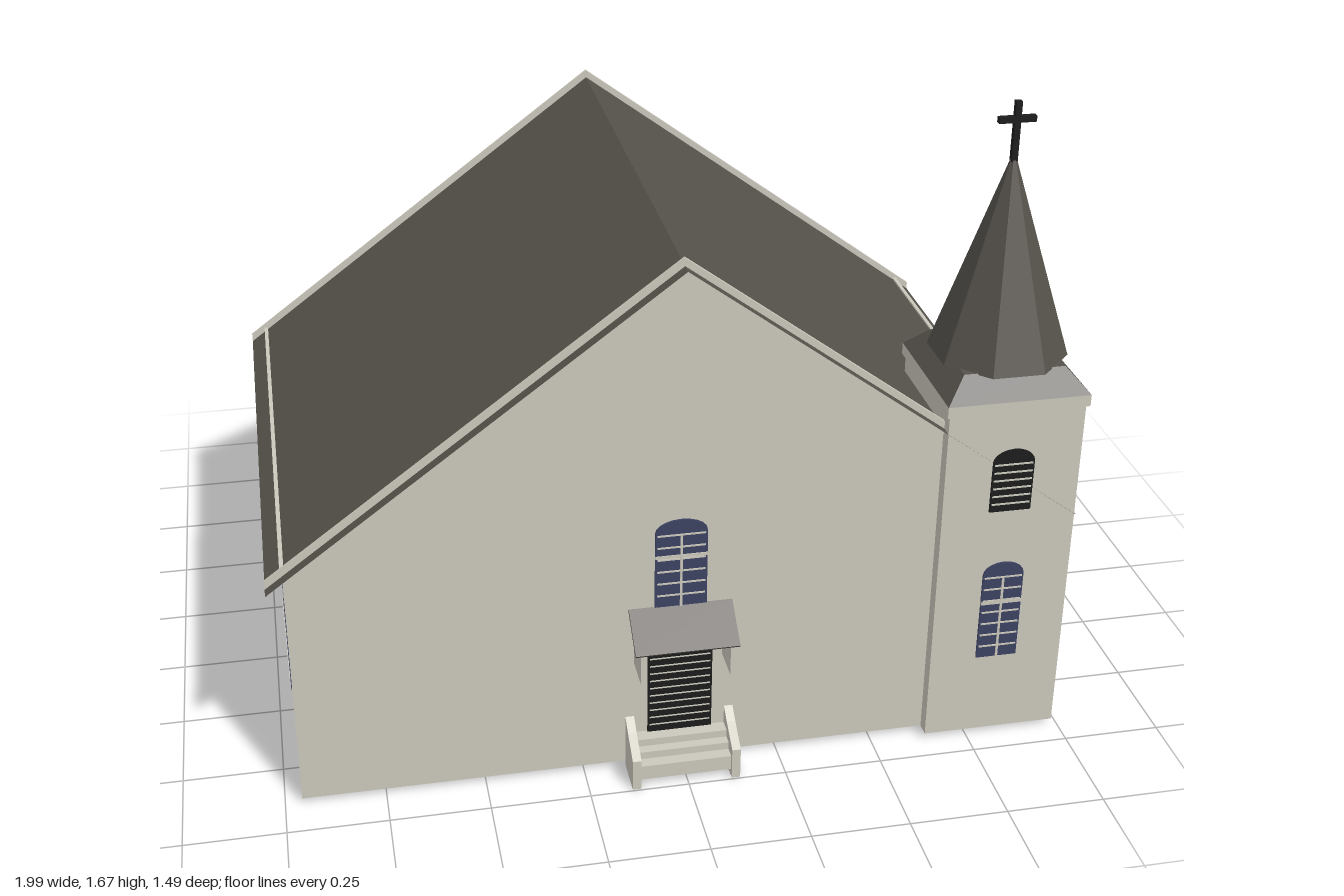
import * as THREE from 'three';

const mat = (name, color, side = THREE.FrontSide) => {
  const m = new THREE.MeshStandardMaterial({ color, side });
  m.name = name;
  return m;
};

export function createModel() {
  const wall = mat('pale siding', 0xcbc8bc, THREE.DoubleSide);
  const roof = mat('dark shingle', 0x56524c, THREE.DoubleSide);
  const glass = mat('blue glass', 0x3c4262);
  const black = mat('black', 0x1b1c1b);

  const add = (parent, name, geo, material, x = 0, y = 0, z = 0) => {
    const m = new THREE.Mesh(geo, material);
    m.name = name;
    m.position.set(x, y, z);
    parent.add(m);
    return m;
  };
  // box given by its min and max corners
  const box = (parent, name, material, x0, x1, y0, y1, z0, z1) =>
    add(parent, name, new THREE.BoxGeometry(x1 - x0, y1 - y0, z1 - z0), material,
      (x0 + x1) / 2, (y0 + y1) / 2, (z0 + z1) / 2);
  const polygon = pts => new THREE.Shape(pts.map(p => new THREE.Vector2(...p)));
  const extrude = (shape, depth) =>
    new THREE.ExtrudeGeometry(shape, { depth, bevelEnabled: false, curveSegments: 5 }).translate(0, 0, -depth / 2);

  // arched opening facing +z, its base centre at the origin
  const opening = (parent, name, fill, w, h, x, y, z, turn = 0) => {
    const g = new THREE.Group();
    g.name = name;
    const rise = 0.035, louvred = fill === black;
    const s = new THREE.Shape();
    s.moveTo(-w / 2, 0);
    s.lineTo(w / 2, 0);
    s.lineTo(w / 2, h - rise);
    s.absellipse(0, h - rise, w / 2, rise, 0, Math.PI);
    s.closePath();
    add(g, 'pane', extrude(s, 0.009), fill);
    const step = louvred ? 0.022 : 0.034;
    for (let b = step; b < h - rise; b += step)
      box(g, 'bar', wall, -w * 0.46, w * 0.46, b - 0.002, b + 0.002, -0.003, 0.007);
    if (!louvred) {
      box(g, 'mullion', wall, -0.003, 0.003, 0, h - 0.04, -0.003, 0.007);
      box(g, 'meeting rail', wall, -w / 2, w / 2, h * 0.57, h * 0.57 + 0.008, -0.003, 0.007);
    }
    g.position.set(x, y, z);
    g.rotation.y = turn;
    parent.add(g);
  };

  const model = new THREE.Group();
  model.name = 'church';

  // nave: open-bottomed shell of thin walls
  const nave = new THREE.Group();
  nave.name = 'nave';
  nave.position.x = -0.005;
  model.add(nave);
  const HX = 0.953, FRONT = 0.645, BACK = -0.7, BASE = 0.015;
  const EDGE = 0.995, RIDGE = 1.38, SLOPE = 0.747;
  const roofY = x => RIDGE - SLOPE * Math.abs(x);
  const gable = polygon([[-HX, BASE], [HX, BASE], [HX, roofY(HX)], [0, RIDGE], [-HX, roofY(HX)]]);
  add(nave, 'front wall', new THREE.ShapeGeometry(gable), wall, 0, 0, FRONT);
  add(nave, 'back wall', new THREE.ShapeGeometry(gable).rotateY(Math.PI), wall, 0, 0, BACK);

  for (const s of [-1, 1]) {
    const side = new THREE.PlaneGeometry(FRONT - BACK, roofY(HX) - BASE).rotateY(s * Math.PI / 2);
    add(nave, 'side wall', side, wall, s * HX, (roofY(HX) + BASE) / 2, (FRONT + BACK) / 2);

    // roof sheet and the raised pale strips along its edges
    const len = Math.hypot(EDGE, SLOPE * EDGE);
    const sheet = new THREE.PlaneGeometry(len, 1.422).rotateX(-Math.PI / 2).rotateZ(-s * Math.atan(SLOPE));
    add(nave, 'roof slope', sheet, roof, s * EDGE / 2, (RIDGE + roofY(EDGE)) / 2, -0.029);
    const board = polygon([[0, RIDGE - 0.014], [s * EDGE, roofY(EDGE) - 0.014],
      [s * EDGE, roofY(EDGE) + 0.02], [0, RIDGE + 0.02]]);
    for (const z of [FRONT, BACK]) add(nave, 'barge board', extrude(board, 0.01), wall, 0, 0, z);
    box(nave, 'eave strip', wall, s * HX - 0.005, s * HX + 0.005, roofY(HX) - 0.02, roofY(HX) + 0.009, BACK, FRONT);

    // side windows; the tower takes the place of the front one on the left
    for (const z of s < 0 ? [-0.475, -0.03, 0.42] : [-0.475, -0.03])
      opening(nave, 'side window', glass, 0.105, 0.295, s * HX, 0.22, z, s * Math.PI / 2);
  }
  opening(nave, 'back window', glass, 0.11, 0.31, 0, 0.21, BACK, Math.PI);
  opening(nave, 'front window', glass, 0.13, 0.245, 0, 0.47, FRONT);

  // door with pale slat lines
  box(nave, 'door', black, -0.082, 0.082, 0.1, 0.36, FRONT - 0.005, FRONT + 0.005);
  for (let y = 0.122; y < 0.355; y += 0.022)
    box(nave, 'door line', wall, -0.077, 0.077, y - 0.0015, y + 0.0015, FRONT, FRONT + 0.007);

  // sloping canopy on two brackets
  const slopeZ = 0.095, drop = 0.075;
  const canopy = new THREE.BoxGeometry(0.26, 0.008, Math.hypot(slopeZ, drop)).rotateX(Math.atan2(drop, slopeZ));
  add(nave, 'canopy', canopy, roof, 0, 0.432, FRONT + slopeZ / 2);
  const bracket = polygon([[FRONT, 0.31], [FRONT + 0.09, 0.31], [FRONT + 0.09, 0.393], [FRONT, 0.462]]);
  const cheek = polygon([[FRONT, 0], [0.745, 0], [0.745, 0.085], [0.68, 0.125], [FRONT, 0.15]]);
  for (const s of [-1, 1]) {
    add(nave, 'canopy bracket', extrude(bracket, 0.008).rotateY(-Math.PI / 2), wall, s * 0.112)
      .geometry.scale(1, 1, 1);
    add(nave, 'stair cheek', extrude(cheek, 0.022).rotateY(-Math.PI / 2), wall, s * 0.127);
  }
  // steps
  box(nave, 'lower step', wall, -0.118, 0.118, 0.02, 0.06, FRONT, 0.735);
  box(nave, 'middle step', wall, -0.118, 0.118, 0.06, 0.08, FRONT, 0.705);
  box(nave, 'top step', wall, -0.118, 0.118, 0.08, 0.1, FRONT, 0.68);

  // tower
  const tower = new THREE.Group();
  tower.name = 'tower';
  tower.position.set(0.8125, 0, 0.508);
  model.add(tower);
  const T = 0.1725;
  box(tower, 'tower walls', wall, -T, T, BASE, 0.96, -T, T);
  box(tower, 'cornice', wall, -0.18, 0.18, 0.945, 0.975, -0.18, 0.18);
  for (const turn of [0, Math.PI / 2]) {
    const x = Math.sin(turn) * T, z = Math.cos(turn) * T;
    opening(tower, 'tower window', glass, 0.106, 0.28, x, 0.24, z, turn);
    opening(tower, 'belfry louvre', black, 0.106, 0.172, x, 0.67, z, turn);
  }

  // spire: square skirt, octagonal cone and cross
  const ring = (rTop, rBottom, h, n) => {
    const k = 1 / Math.cos(Math.PI / n);
    return new THREE.CylinderGeometry(rTop * k, rBottom * k, h, n).rotateY(Math.PI / n).toNonIndexed();
  };
  const faceted = geo => { geo.computeVertexNormals(); return geo; };
  add(tower, 'spire skirt', faceted(ring(0.128, 0.18, 0.058, 4)), roof, 0, 1.004);
  add(tower, 'spire', faceted(ring(0.003, 0.158, 0.51, 8)), roof, 0, 1.285);
  box(tower, 'cross upright', black, -0.0075, 0.0075, 1.52, 1.67, -0.0075, 0.0075);
  box(tower, 'cross arm', black, -0.046, 0.046, 1.618, 1.633, -0.0075, 0.0075);

  return model;
}
